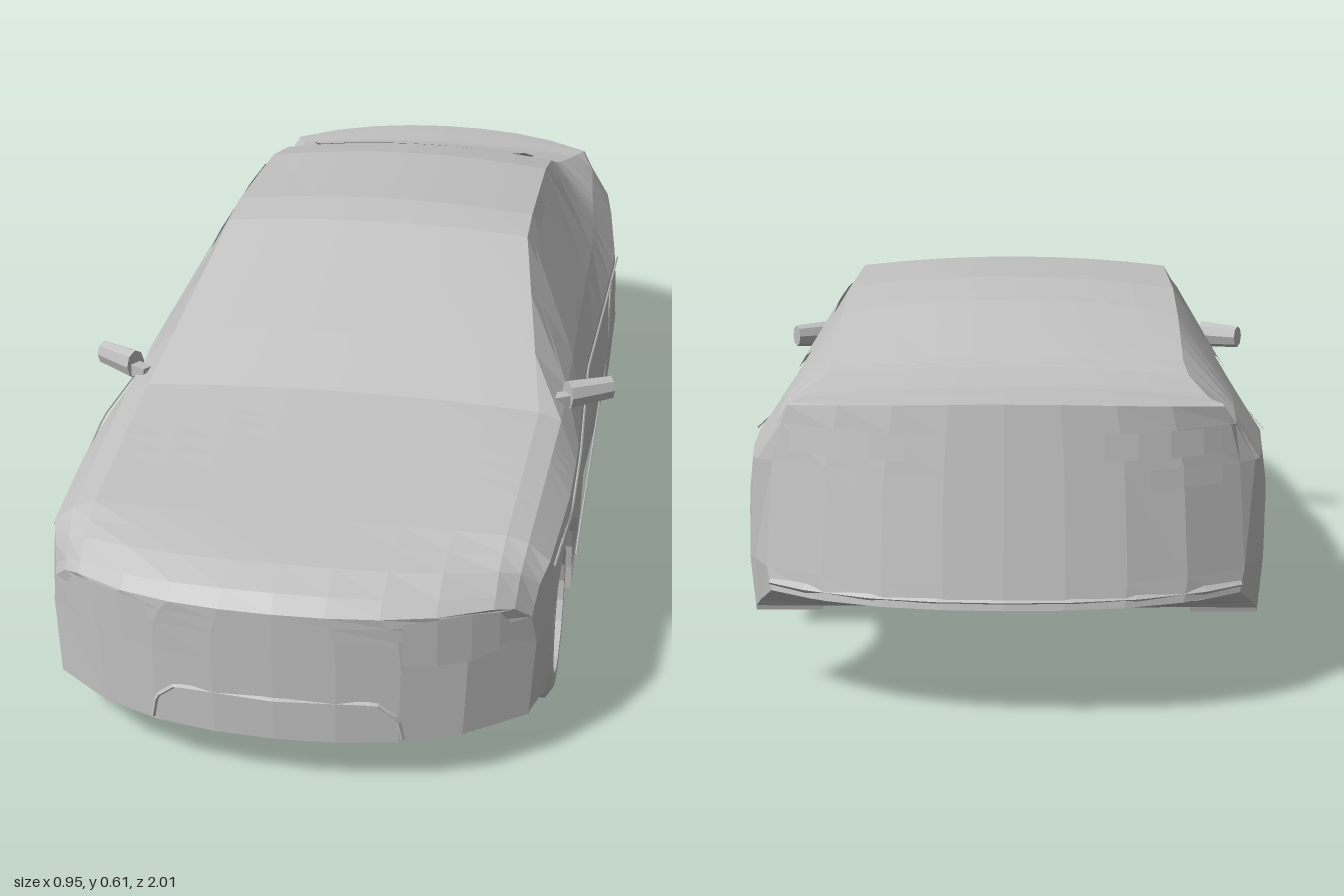
import * as THREE from 'three';

const paint = new THREE.MeshStandardMaterial({ color: 0xc0c0c0, flatShading: true, side: THREE.DoubleSide });
paint.name = 'grey';

const V = (x, y, z) => new THREE.Vector3(x, y, z);
const mix = THREE.MathUtils.lerp;

// Piecewise-linear rail: value along the car's length, points listed nose to tail
const rail = (...p) => z => {
  let i = 1;
  while (i < p.length - 1 && z < p[i][0]) i++;
  const [z0, v0] = p[i - 1], [z1, v1] = p[i];
  return mix(v0, v1, THREE.MathUtils.clamp((z - z0) / (z1 - z0), 0, 1));
};

const floorY = rail([1, .09], [.45, .1], [-.47, .1], [-.82, .14], [-1, .185]);
const sillX = rail([1, .385], [.8, .405], [.6, .42], [.45, .422], [.1, .41], [-.2, .422], [-.47, .432], [-.7, .41], [-.85, .39], [-1, .36]);
const beltY = rail([1, .27], [.92, .31], [.8, .33], [.4, .35], [-.47, .36], [-.8, .38], [-1, .38]);
const baseX = rail([1, .36], [.8, .37], [.4, .39], [-.4, .388], [-.7, .365], [-1, .345]);
const baseY = rail([1, .295], [.92, .335], [.8, .36], [.4, .395], [0, .415], [-.5, .43], [-1, .44]);
const edgeX = rail([1, .33], [.8, .335], [.42, .35], [.04, .287], [-.68, .285], [-.88, .335], [-1, .335]);
const edgeY = rail([1, .305], [.92, .345], [.8, .37], [.42, .407], [.04, .586], [-.05, .598], [-.35, .59], [-.5, .56], [-.68, .495], [-.8, .472], [-1, .468]);
const topY = rail([1, .315], [.975, .338], [.92, .357], [.42, .42], [.04, .6], [-.05, .615], [-.35, .61], [-.5, .582], [-.7, .505], [-.8, .49], [-1, .485]);

// Nose and tail curve back toward the corners; the tail also leans forward
const bow = rail([1, 1], [.975, .9], [.92, .6], [.86, .3], [.8, 0], [-.83, 0], [-.87, .3], [-1, 1]);
const place = (x, y, z) => {
  const curve = bow(z) * (.5 * x * x + 2.7 * x ** 4);
  const lean = z < -.87 ? (y - .19) * .2 * bow(z) : 0;
  return V(x, y, z - Math.sign(z) * curve + lean);
};

// Wheel arches
const arches = [{ z: .64, y: .14, r: .155 }, { z: -.65, y: .13, r: .165 }];
const lowerY = z => {
  const a = arches.find(a => Math.abs(z - a.z) < a.r);
  return a ? a.y + Math.sqrt(a.r ** 2 - (z - a.z) ** 2) : floorY(z);
};
const midY = z => Math.max(.22, lowerY(z) + .015);

// Point on the bonnet, screen, roof or boot; s runs -1 to 1 across
const topPoint = (z, s, lift = 0) =>
  place(s * edgeX(z), mix(topY(z), edgeY(z), s * s) + lift, z);

// Skin over rows of points
function skin(rows) {
  const pos = [], idx = [], n = rows[0].length;
  rows.forEach(r => r.forEach(p => pos.push(p.x, p.y, p.z)));
  for (let s = 0; s < rows.length - 1; s++) for (let i = 0; i < n - 1; i++) {
    const a = s * n + i, b = a + 1, d = a + n, c = d + 1;
    idx.push(a, d, c, a, c, b);
  }
  const g = new THREE.BufferGeometry();
  g.setAttribute('position', new THREE.Float32BufferAttribute(pos, 3));
  g.setIndex(idx);
  g.computeVertexNormals();
  return g;
}

// Half section from the sill up to the roof edge
const flank = z => [
  [sillX(z), lowerY(z)], [sillX(z) + .008, midY(z)], [sillX(z), beltY(z)],
  [baseX(z), baseY(z)], [edgeX(z), edgeY(z)]
];

function section(z) {
  const half = [[0, floorY(z)], [.29, floorY(z)], [.29, lowerY(z)], ...flank(z)].map(([x, y]) => place(x, y, z));
  for (const s of [.75, .5, .25, 0]) half.push(topPoint(z, s));
  const left = half.slice(0, -1).reverse().map(p => V(-p.x, p.y, p.z));
  return [...half, ...left];
}

// Nose or tail face
function endFace(z) {
  const f = flank(z), cols = [-1, -.75, -.5, -.25, 0, .25, .5, .75, 1];
  const rows = f.map(([x, y], i) => cols.map(s => i === f.length - 1 ? topPoint(z, s) : place(s * x, y, z)));
  return skin(z > 0 ? rows.reverse() : rows);
}

// Thin plate on the nose or tail, from columns of [x, low, high]
const facePlate = (z, cols, m = 1) => skin([1, 2].map(k =>
  cols.map(c => place(m * c[0], c[k], z).add(V(0, 0, Math.sign(z) * .005)))));

export function createModel() {
  const car = new THREE.Group();
  car.name = 'car';
  const add = (name, geo, parent = car) => {
    const m = new THREE.Mesh(geo, paint);
    m.name = name;
    parent.add(m);
    return m;
  };
  const line = (name, pts, r = .003) => {
    const path = new THREE.CurvePath();
    for (let i = 1; i < pts.length; i++) path.add(new THREE.LineCurve3(pts[i - 1], pts[i]));
    return add(name, new THREE.TubeGeometry(path, pts.length * 6, r, 4));
  };

  // Body shell
  const zs = [1, .975, .92, .86, .42, .3, .17, .04, -.05, -.2, -.35, -.43, -.87, -1];
  for (const a of arches) {
    for (let k = 0; k <= 10; k++) zs.push(a.z + a.r * .9999 * Math.cos(k * Math.PI / 10));
    zs.push(a.z + a.r * 1.01, a.z - a.r * 1.01);
  }
  zs.sort((a, b) => b - a);
  add('body', skin(zs.map(section)));
  add('nose', endFace(1));
  add('tail', endFace(-1));

  // Windscreen and rear window
  const glass = (name, stations) => add(name, skin(stations.map(([z, w]) =>
    [1, .75, .5, .25, 0, -.25, -.5, -.75, -1].map(s => topPoint(z, s * w, .005)))));
  glass('windscreen', [[.4, .94], [.3, .94], [.17, .94], [.06, .93]]);
  glass('rearWindow', [[-.46, .72], [-.5, .8], [-.6, .84], [-.68, .8], [-.71, .6]]);

  for (const m of [1, -1]) {
    const side = m > 0 ? 'left' : 'right';

    // Side windows, from [z, low, high] between waist and roof edge
    const windowPane = (name, cols) => add(side + name, skin(cols.map(([z, lo, hi]) => [lo, hi].map(f =>
      V(m * (mix(baseX(z), edgeX(z), f) + .004), mix(baseY(z), edgeY(z), f) + .002, z)))));
    windowPane('DoorWindow', [[.3, .1, .2], [.17, .1, .8], [.04, .1, .88], [-.2, .1, .88], [-.33, .1, .87]]);
    windowPane('QuarterWindow', [[-.35, .25, .85], [-.43, .35, .82], [-.5, .55, .7]]);

    // Door and sill seams
    const onSide = ([z, y]) => V(m * (sillX(z) + .005), y, z);
    line(side + 'DoorSeam', [[-.33, .36], [-.32, .28], [-.29, .19], [-.25, .155], [-.2, .15], [.45, .15]].map(onSide), .002);
    line(side + 'WaistSeam', [[.78, .315], [.6, .32], [.45, .35], [.1, .352], [-.2, .355], [-.47, .36]].map(onSide), .002);

    // Lamps
    add(side + 'Headlight', facePlate(1, [[.2, .23, .305], [.25, .227, .308], [.3, .225, .308], [.34, .235, .3], [.362, .25, .265]], m));
    add(side + 'TailLight', facePlate(-1, [[.15, .4, .44], [.2, .4, .44], [.25, .4, .44], [.3, .4, .44], [.33, .4, .44]], m));
    add(side + 'LowerTailLight', facePlate(-1, [[.22, .355, .385], [.27, .355, .385], [.33, .355, .385]], m));

    // Door mirror: stalk and faceted housing
    const mirror = new THREE.Group();
    mirror.name = side + 'Mirror';
    mirror.position.set(m * .43, .41, .325);
    mirror.rotation.y = m * .55;
    const housing = new THREE.CylinderGeometry(.026, .032, .085, 8);
    housing.rotateZ(-m * Math.PI / 2).scale(1, .85, .65);
    add('mirrorHousing', housing, mirror);
    add('mirrorStalk', new THREE.BoxGeometry(.06, .022, .022), mirror).position.set(-m * .045, -.008, 0);
    car.add(mirror);
  }

  // Front intake frame, bumper lip and number plate
  line('intakeFrame', [[-.2, .095], [-.192, .135], [-.16, .162], [0, .162], [.16, .162], [.192, .135], [.2, .095]]
    .map(([x, y]) => place(x, y, 1)), .004);
  const lip = [-.36, -.3, -.2, -.1, 0, .1, .2, .3, .36];
  line('rearBumperLip', lip.map(x => place(x, .197, -1).add(V(0, 0, .005))), .008);
  add('numberPlate', facePlate(-1, [[-.09, .25, .31], [0, .25, .31], [.09, .25, .31]]));

  // Single front wheel
  const wheel = new THREE.Group();
  wheel.name = 'leftFrontWheel';
  wheel.position.set(0, .145, .64);
  const profile = [[0, .323], [.145, .323], [.145, .4], [.125, .413], [.103, .413], [.098, .385], [0, .385]];
  add('tyre', new THREE.LatheGeometry(profile.map(p => new THREE.Vector2(...p)), 18), wheel).rotation.z = -Math.PI / 2;
  const hub = add('hub', new THREE.CylinderGeometry(.022, .026, .02, 10), wheel);
  hub.rotation.z = -Math.PI / 2;
  hub.position.x = .393;
  for (let i = 0; i < 5; i++) {
    const spoke = new THREE.BoxGeometry(.016, .085, .022);
    spoke.translate(.394, .056, 0).rotateX(i * Math.PI * 2 / 5);
    add('spoke', spoke, wheel);
  }
  car.add(wheel);
  return car;
}
